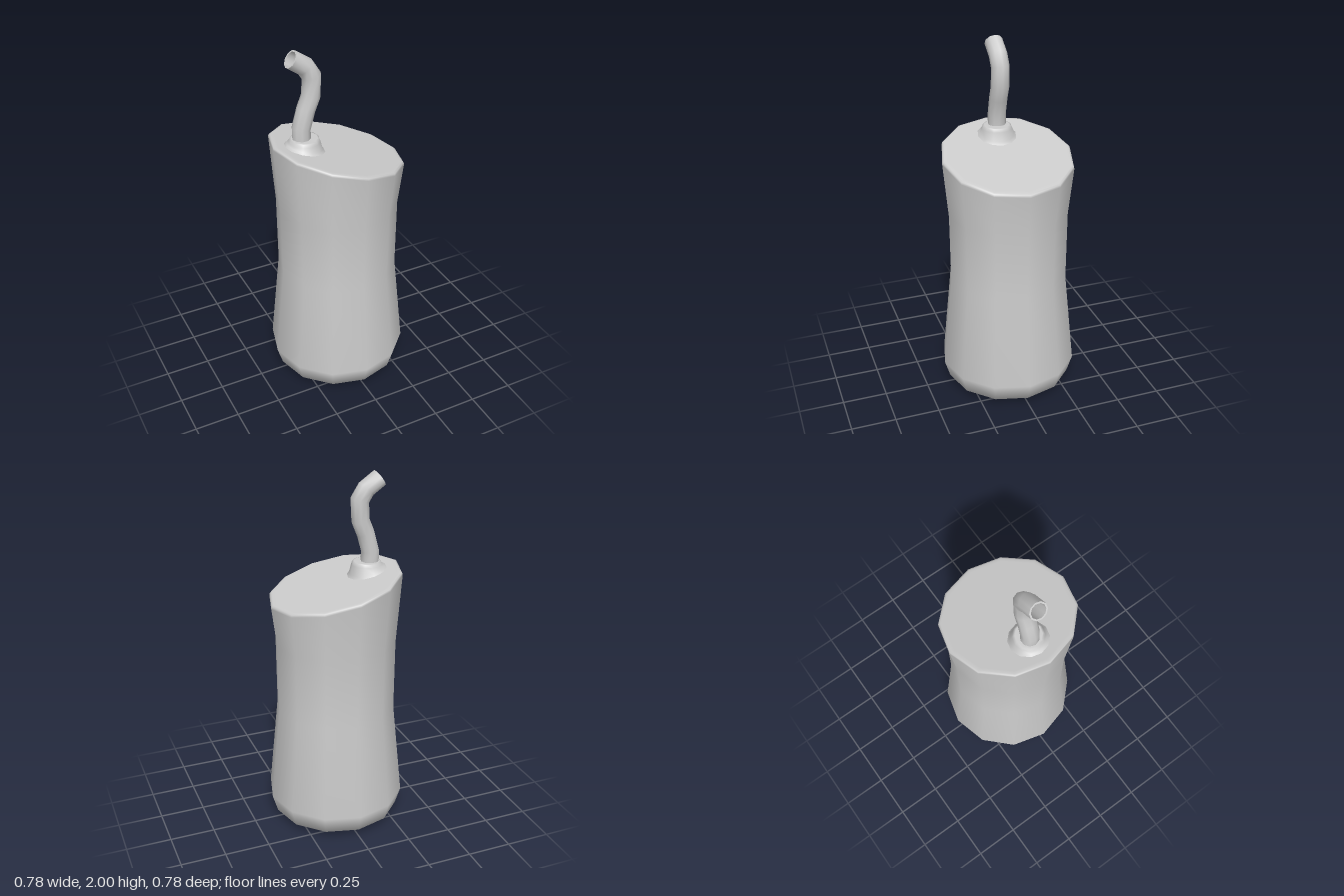
import * as THREE from 'three';
import { mergeVertices } from 'three/addons/utils/BufferGeometryUtils.js';

const SLOPE = -0.24; // tilt of the lid across x
const LID = 1.408; // lid height at the centre
const material = new THREE.MeshStandardMaterial({ color: 0xcccccc });

// Turn [radius, y, tilt] rows into a 12-sided smooth solid; tilt shears that ring along the lid
function tiltedLathe(rows, x0 = 0, z0 = 0) {
  let geo = new THREE.LatheGeometry(rows.map(([r, y]) => new THREE.Vector2(r, y)), 12);
  const p = geo.attributes.position;
  for (let i = 0; i < p.count; i++) {
    const tilt = rows[i % rows.length][2] ?? 0;
    const x = p.getX(i) + x0;
    p.setXYZ(i, x, p.getY(i) + tilt * SLOPE * x, p.getZ(i) + z0);
  }
  geo.deleteAttribute('uv');
  geo.deleteAttribute('normal');
  geo = mergeVertices(geo, 1e-5);
  geo.computeVertexNormals();
  return geo;
}

// Sweep a round section along a path in the xy plane with mitred bends
function sweep(path, radius, z, sides = 10, inward = false) {
  const pts = path.map(([x, y]) => new THREE.Vector2(x, y));
  const pos = [], idx = [];
  pts.forEach((p, i) => {
    const before = p.clone().sub(pts[Math.max(i - 1, 0)]).normalize();
    const after = pts[Math.min(i + 1, pts.length - 1)].clone().sub(p).normalize();
    const dir = before.clone().add(after).normalize();
    const bent = i > 0 && i < pts.length - 1;
    const stretch = bent ? 1 / dir.dot(after) : 1;
    for (let j = 0; j < sides; j++) {
      const a = (j / sides) * Math.PI * 2;
      const c = Math.cos(a) * radius * stretch;
      pos.push(p.x + dir.y * c, p.y - dir.x * c, z + Math.sin(a) * radius);
      if (i === 0) continue;
      const k = (j + 1) % sides;
      const [l0, l1, u0, u1] = [(i - 1) * sides + j, (i - 1) * sides + k, i * sides + j, i * sides + k];
      if (inward) idx.push(l0, l1, u0, l1, u1, u0);
      else idx.push(l0, u0, l1, l1, u0, u1);
    }
  });
  const geo = new THREE.BufferGeometry();
  geo.setAttribute('position', new THREE.Float32BufferAttribute(pos, 3));
  geo.setIndex(idx);
  geo.computeVertexNormals();
  return geo;
}

export function createModel() {
  const model = new THREE.Group();
  model.name = 'canister';
  const add = (name, geo) => {
    const mesh = new THREE.Mesh(geo, material);
    mesh.name = name;
    model.add(mesh);
    return mesh;
  };

  // Waisted body with rounded foot and slanted lid
  add('body', tiltedLathe([
    [0, 0], [0.24, 0], [0.265, 0.003], [0.36, 0.04], [0.39, 0.14],
    [0.335, 0.68], [0.337, 1.08],
    [0.365, LID - 0.016, 1], [0.362, LID - 0.004, 1], [0.352, LID, 1], [0.335, LID, 1], [0, LID, 1],
  ]));

  // Flared collar, level on top and following the lid underneath
  add('collar', tiltedLathe([
    [0.112, LID - 0.003, 1], [0.097, LID + 0.012, 1], [0.085, 1.492],
    [0.078, 1.509], [0.07, 1.511], [0, 1.511],
  ], -0.185, -0.003));

  // Bent hollow spout
  const path = [[-0.2, 1.49], [-0.2, 1.57], [-0.172, 1.67], [-0.143, 1.74], [-0.137, 1.85], [-0.173, 1.907], [-0.25, 1.96]];
  const z = -0.008;
  add('spout', sweep(path, 0.05, z));
  add('spoutBore', sweep(path, 0.041, z, 10, true));

  // Rim joining the spout's wall to its bore
  const rim = add('spoutRim', new THREE.RingGeometry(0.041, 0.05, 10));
  const [a, b] = path.slice(-2);
  rim.position.set(b[0], b[1], z);
  rim.lookAt(2 * b[0] - a[0], 2 * b[1] - a[1], z);
  rim.rotateZ(Math.PI / 2);
  return model;
}
